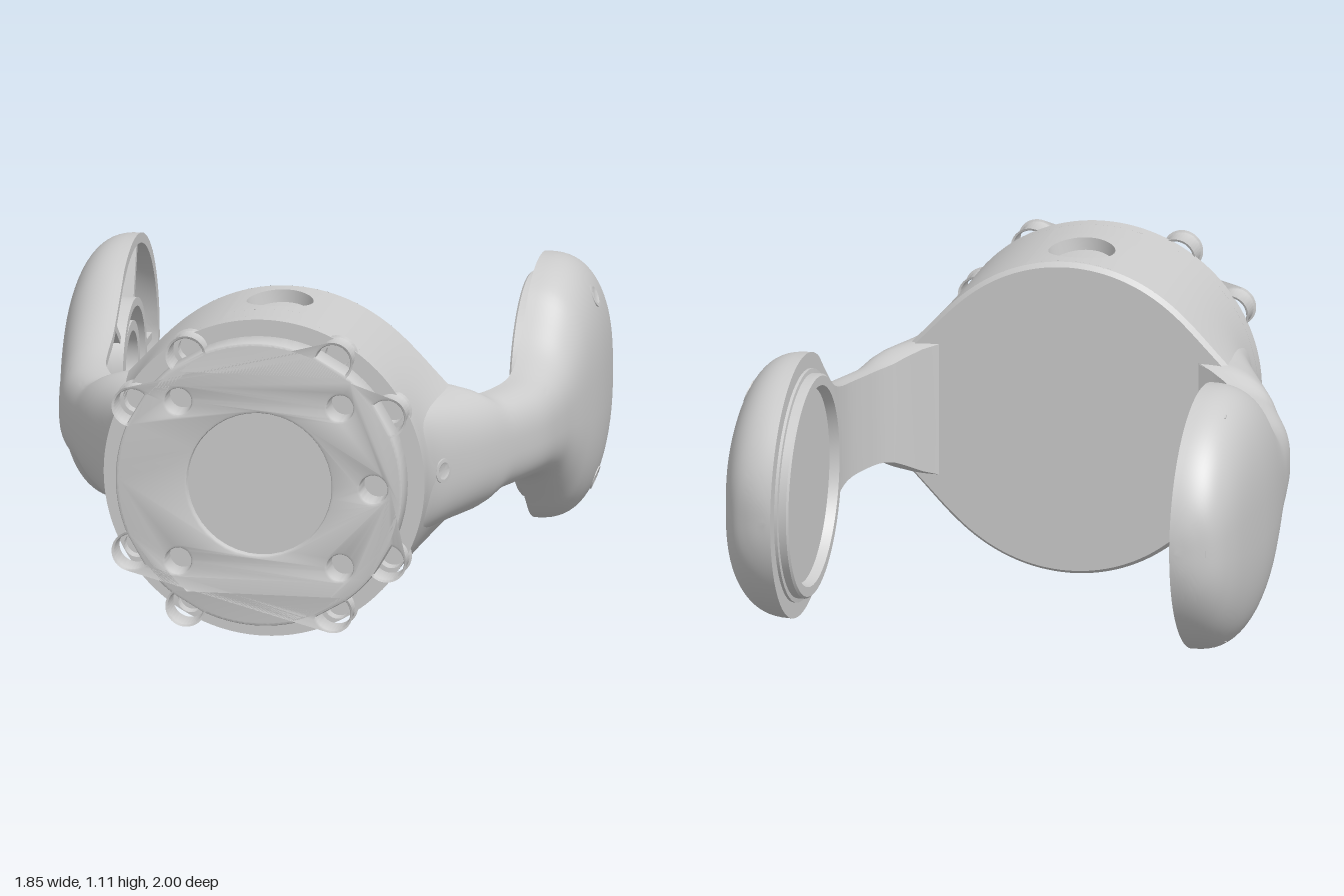
import * as THREE from 'three';
import { mergeGeometries, toCreasedNormals } from 'three/addons/utils/BufferGeometryUtils.js';

const MAT = new THREE.MeshStandardMaterial({ color: 0xcccccc, side: THREE.DoubleSide });
const R = 0.555, CY = 0.555;          // body radius and axis height
const HEAD_Z = -0.54, HEAD_R = 0.455; // round pad at the arm end
const WALL = 0.035;

const V = (x, y, z) => new THREE.Vector3(x, y, z);

function mesh(name, geo, parent) {
  const m = new THREE.Mesh(geo, MAT);
  m.name = name;
  parent.add(m);
  return m;
}

// Grid surface from a rule f(u, v) -> Vector3
function sheet(nu, nv, f) {
  const g = new THREE.PlaneGeometry(1, 1, nu, nv), p = g.attributes.position, uv = g.attributes.uv;
  for (let i = 0; i < p.count; i++) {
    const q = f(uv.getX(i), uv.getY(i));
    p.setXYZ(i, q.x, q.y, q.z);
  }
  return g;
}
const creased = (list, angle = 0.6) => toCreasedNormals(mergeGeometries(list), angle);

// Smooth interpolation through [z, value] pairs
function curve(pts) {
  const slope = i => {
    const a = pts[Math.max(i - 1, 0)], b = pts[Math.min(i + 1, pts.length - 1)];
    return (b[1] - a[1]) / (b[0] - a[0]);
  };
  return z => {
    if (z <= pts[0][0]) return pts[0][1];
    const i = pts.findIndex(p => p[0] >= z) - 1;
    if (i < 0) return pts[pts.length - 1][1];
    const [z0, a] = pts[i], [z1, b] = pts[i + 1], d = z1 - z0, t = (z - z0) / d;
    const t2 = t * t, t3 = t2 * t;
    return a * (2 * t3 - 3 * t2 + 1) + b * (3 * t2 - 2 * t3)
      + d * (slope(i) * (t3 - 2 * t2 + t) + slope(i + 1) * (t3 - t2));
  };
}

// Arm rules along z: outer face, inner face and half height
const outerX = curve([[-0.995, 0.71], [-0.985, 0.77], [-0.95, 0.84], [-0.87, 0.885], [-0.75, 0.91], [-0.55, 0.925],
  [-0.4, 0.923], [-0.25, 0.908], [-0.1, 0.885], [0, 0.87], [0.15, 0.84], [0.3, 0.78], [0.47, 0.70], [0.62, 0.62],
  [0.72, 0.572], [0.82, 0.545]]);
const innerX = curve([[-1, 0.70], [-0.1, 0.70], [0, 0.70], [0.1, 0.69], [0.2, 0.66], [0.29, 0.62], [0.35, 0.56],
  [0.39, 0.48], [0.42, 0.42], [0.82, 0.42]]);
const neckH = curve([[-0.3, 0.386], [-0.2, 0.30], [-0.1, 0.225], [0, 0.187], [0.1, 0.171], [0.25, 0.167],
  [0.32, 0.175], [0.36, 0.2], [0.4, 0.235], [0.5, 0.238], [0.82, 0.235]]);
const halfH = (z, inset = 0) => z < -0.3
  ? Math.sqrt(Math.max(0, (HEAD_R - inset) ** 2 - (z - HEAD_Z) ** 2)) : neckH(z) - inset;

// Rounded D section, a from 0 to PI
function dPoint(z, a, h, depth) {
  const c = Math.cos(a), s = Math.max(0, Math.sin(a));
  return V(innerX(z) + depth * s ** 0.75, CY + h * Math.sign(c) * Math.abs(c) ** 0.75, z);
}

// Lofted arm; the hollow one has an inner pocket instead of a flat face
function armGeometry(hollow) {
  const zAt = u => -0.995 + 1.805 * u ** 1.5;
  const outer = sheet(90, 40, (u, v) => {
    const z = zAt(u);
    return dPoint(z, v * Math.PI, halfH(z), outerX(z) - innerX(z));
  });
  const pocket = z => {
    const h = z > 0.3 ? 0 : halfH(z, WALL);
    return [h, Math.max(0, Math.min(outerX(z) - innerX(z) - 0.04, h))];
  };
  if (!hollow) {
    return creased([outer, sheet(90, 1, (u, v) => dPoint(zAt(u), v * Math.PI, halfH(zAt(u)), 0))]);
  }
  const parts = [outer, sheet(120, 32, (u, v) => dPoint(zAt(u), v * Math.PI, ...pocket(zAt(u))))];
  for (const a of [0, Math.PI]) {
    parts.push(sheet(120, 1, (u, v) => {
      const z = zAt(u);
      return dPoint(z, a, v ? halfH(z) : pocket(z)[0], 0);
    }));
  }
  return creased(parts);
}

// Lathe around an axis n placed at pos
function turned(name, pts, pos, n, parent, seg = 64) {
  const geo = toCreasedNormals(new THREE.LatheGeometry(pts.map(p => new THREE.Vector2(...p)), seg), 0.5);
  const m = mesh(name, geo, parent);
  m.position.copy(pos);
  m.quaternion.setFromUnitVectors(V(0, 1, 0), n.normalize());
  return m;
}

// Point on the body: angle from the top, depth z, radial fraction k
const flare = curve([[0.4, 0.17], [0.47, 0.135], [0.62, 0.06], [0.72, 0.017], [0.8, 0], [0.9, 0]]);
function bodyPoint(th, z, k = 1) {
  const y = R * Math.cos(th);
  const x = R * Math.sin(th) + flare(z) * Math.sin(th) * Math.exp(-((y / 0.22) ** 2));
  return V(k * x, CY + k * y, z);
}

function bodyGeometry() {
  const S = 0.16, r = 0.115, zc = 0.59, z0 = 0.42, z1 = 0.85, w = S / R;
  const parts = [];
  const patch = (a, b, za, zb, nu, nv) =>
    parts.push(sheet(nu, nv, (u, v) => bodyPoint(a + (b - a) * u, za + (zb - za) * v)));
  for (const t of [0, Math.PI]) {
    patch(t + w, t + Math.PI - w, z0, z1, 56, 24);
    patch(t - w, t + w, z0, zc - S, 8, 1);
    patch(t - w, t + w, zc + S, z1, 8, 2);
    // round pocket in the top and the bottom
    const around = (u, d, k) => bodyPoint(t + d * Math.cos(u * 2 * Math.PI) / R, zc + d * Math.sin(u * 2 * Math.PI), k);
    parts.push(sheet(48, 3, (u, v) => {
      const a = u * 2 * Math.PI, edge = S / Math.max(Math.abs(Math.cos(a)), Math.abs(Math.sin(a)));
      return around(u, r + (edge - r) * v, 1);
    }));
    parts.push(sheet(48, 1, (u, v) => around(u, r, 1 - 0.08 * v)));
    parts.push(sheet(48, 3, (u, v) => around(u, r * v, 0.92)));
  }
  // back face with a softened edge
  parts.push(sheet(128, 1, (u, v) => bodyPoint(u * 2 * Math.PI, 0.40, 0.975 * v)));
  parts.push(sheet(128, 1, (u, v) => bodyPoint(u * 2 * Math.PI, 0.40 + 0.02 * v, 0.975 + 0.025 * v)));
  return creased(parts, 0.5);
}

const hole = (shape, x, y, r) => shape.holes.push(new THREE.Path().absarc(x, y, r, 0, 2 * Math.PI, true));

export function createModel() {
  const model = new THREE.Group();
  mesh('body', bodyGeometry(), model);

  // Front rim of the body with eight bolt seats
  const seats = [30, 60, 120, 150, 210, 240, 300, 330].map(d => d * Math.PI / 180);
  const rim = new THREE.Shape().absarc(0, 0, R, 0, 2 * Math.PI);
  for (const a of seats) hole(rim, 0.508 * Math.cos(a), 0.508 * Math.sin(a), 0.044);
  mesh('frontRim', toCreasedNormals(new THREE.ExtrudeGeometry(rim, { depth: 0.05, bevelEnabled: false, curveSegments: 64 }), 0.5), model)
    .position.set(0, CY, 0.85);
  mesh('seatFloor', new THREE.CircleGeometry(R, 96), model).position.set(0, CY, 0.851);

  // Scalloped front cap
  const cap = new THREE.Shape(), capR = 0.497, nr = 0.06, d = 0.508;
  const half = Math.acos((capR ** 2 + d * d - nr * nr) / (2 * capR * d));
  const open = Math.PI - Math.atan2(capR * Math.sin(half), d - capR * Math.cos(half));
  seats.forEach((a, i) => {
    const prev = i ? seats[i - 1] : seats[7] - 2 * Math.PI;
    cap.absarc(0, 0, capR, prev + half, a - half, false);
    cap.absarc(d * Math.cos(a), d * Math.sin(a), nr, a + open, a + 2 * Math.PI - open, true);
  });
  for (const x of [-0.28, 0.28]) for (const y of [-0.28, 0.28]) hole(cap, x, y, 0.045);
  hole(cap, 0, 0, 0.25);
  hole(cap, 0.395, 0, 0.048);
  const capGeo = new THREE.ExtrudeGeometry(cap, {
    depth: 0.09, bevelThickness: 0.01, bevelSize: 0.01, bevelOffset: -0.01, bevelSegments: 2, curveSegments: 20,
  });
  mesh('frontCap', toCreasedNormals(capGeo, 0.5), model).position.set(0, CY, 0.9);
  mesh('capRecess', new THREE.CircleGeometry(0.26, 64), model).position.set(0, CY, 0.975);

  // Left arm: closed pad with a dished disc and screw collars
  const left = new THREE.Group();
  left.name = 'leftArm';
  model.add(left);
  mesh('leftArmShell', armGeometry(false), left);
  turned('padDisc', [[0.4, -0.01], [0.4, 0.01], [0.385, 0.012], [0.385, 0.038], [0.378, 0.045], [0.345, 0.045],
    [0.335, 0.012], [0, 0.012]], V(0.70, CY, HEAD_Z), V(-1, 0, 0), left, 96);
  const collar = [[0.042, -0.02], [0.042, 0.003], [0.03, 0.004], [0.024, 0.001], [0, 0.001]];
  for (const s of [1, -1]) turned('padScrew', collar, V(0.886, CY + s * 0.32, HEAD_Z), V(1, s * 0.39, 0), left, 24);
  turned('neckScrew', collar, V(0.584, CY, 0.70), V(1, 0, 0.5), left, 24);

  // Right arm: hollow pad with hub and ribs, mirrored to -x
  const right = new THREE.Group();
  right.name = 'rightArm';
  right.scale.x = -1;
  model.add(right);
  mesh('rightArmShell', armGeometry(true), right);
  turned('hub', [[0.235, -0.17], [0.235, -0.005], [0.205, -0.005], [0.205, -0.06], [0.155, -0.06], [0.155, -0.015],
    [0.12, -0.015], [0.12, -0.14], [0, -0.14]], V(0.70, CY, HEAD_Z), V(-1, 0, 0), right);
  for (let i = 0; i < 5; i++) {
    const a = (36 + 72 * i) * Math.PI / 180, rad = 0.325;
    const rib = mesh('padRib', new THREE.BoxGeometry(0.1, 0.025, 0.2), right);
    rib.position.set(0.77, CY + rad * Math.sin(a), HEAD_Z + rad * Math.cos(a));
    rib.rotation.x = -a;
  }
  // Lengthwise rib in the neck, following its curve
  const side = new THREE.Shape(), zs = Array.from({ length: 15 }, (_, i) => -0.31 + 0.044 * i);
  zs.forEach((z, i) => (i ? side.lineTo(innerX(z) + 0.01, z) : side.moveTo(innerX(z) + 0.01, z)));
  zs.reverse().forEach(z => side.lineTo(outerX(z) - 0.025, z));
  const neckRib = mesh('neckRib', new THREE.ExtrudeGeometry(side, { depth: 0.03, bevelEnabled: false }), right);
  neckRib.rotation.x = Math.PI / 2;
  neckRib.position.y = CY + 0.015;

  return model;
}
